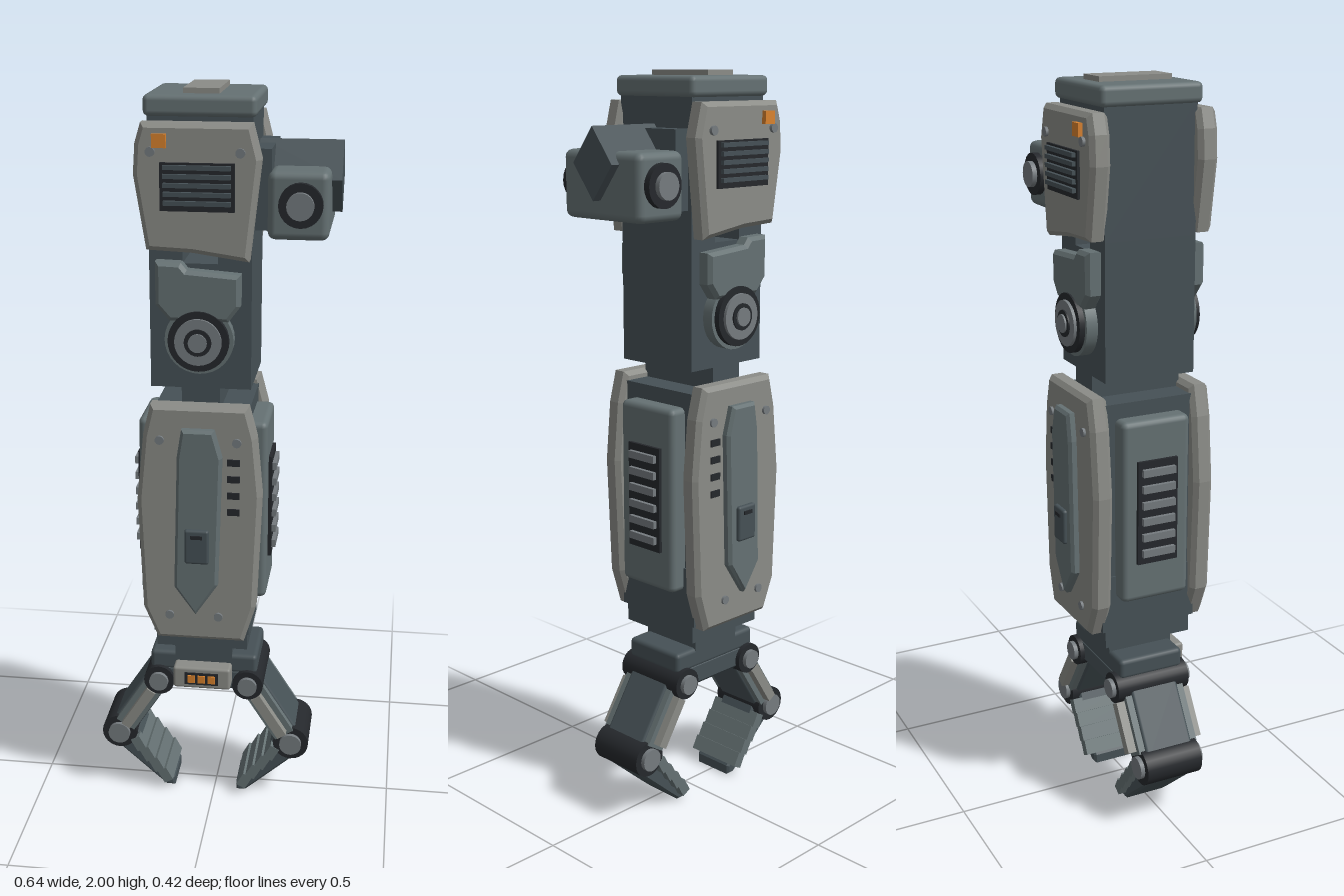
import * as THREE from 'three';
import { RoundedBoxGeometry } from 'three/addons/geometries/RoundedBoxGeometry.js';

const mat = (name, color) => {
  const m = new THREE.MeshStandardMaterial({ color });
  m.name = name;
  return m;
};

export function createModel() {
  const root = new THREE.Group();
  root.name = 'roboticArm';
  const grey = mat('lightGreyArmour', 0x8b8c87);
  const teal = mat('slateGreen', 0x657173);
  const dark = mat('darkSlate', 0x465156);
  const black = mat('nearBlack', 0x25282c);
  const steel = mat('steel', 0x757b7f);
  const orange = mat('orange', 0xd9822e);

  const add = (name, geo, m, x = 0, y = 0, z = 0, parent = root) => {
    const mesh = new THREE.Mesh(geo, m);
    mesh.name = name;
    mesh.position.set(x, y, z);
    parent.add(mesh);
    return mesh;
  };
  // Box given by its limits on each axis; r rounds the edges
  const box = (name, m, [x0, x1], [y0, y1], [z0, z1], r = 0, parent = root) => {
    const s = [x1 - x0, y1 - y0, z1 - z0];
    const geo = r ? new RoundedBoxGeometry(...s, 2, r) : new THREE.BoxGeometry(...s);
    return add(name, geo, m, (x0 + x1) / 2, (y0 + y1) / 2, (z0 + z1) / 2, parent);
  };
  // Bevelled plate from an outline, lying between two depths on side s
  const plate = (name, m, pts, z0, z1, s = 1, b = 0.01, parent = root) => {
    const shape = new THREE.Shape(pts.map(p => new THREE.Vector2(...p)));
    const geo = new THREE.ExtrudeGeometry(shape, {
      depth: z1 - z0 - 2 * b, bevelEnabled: b > 0, bevelSize: b, bevelOffset: -b,
      bevelThickness: b, bevelSegments: 1
    });
    geo.translate(0, 0, -(z1 - z0 - 2 * b) / 2);
    return add(name, geo, m, 0, 0, s * (z0 + z1) / 2, parent);
  };
  // Disc with its axis along z
  const disc = (name, m, x, y, r, z0, z1, s = 1, parent = root, n = 24) => {
    const geo = new THREE.CylinderGeometry(r, r, z1 - z0, n).rotateX(Math.PI / 2);
    return add(name, geo, m, x, y, s * (z0 + z1) / 2, parent);
  };
  const span = (s, a, b) => (s > 0 ? [a, b] : [-b, -a]);
  const CX = -0.025;

  // Upper arm frame, with a slot running through from front to back
  const Z = [-0.127, 0.127];
  box('shoulderFrame', dark, [-0.155, 0.105], [1.61, 1.945], Z);
  box('upperArmFrame', dark, [-0.155, 0.105], [1.25, 1.575], Z);
  box('slotSide', dark, [-0.155, -0.07], [1.575, 1.61], Z);
  box('slotSide', dark, [0.02, 0.105], [1.575, 1.61], Z);
  box('topCap', teal, [-0.165, 0.115], [1.935, 1.987], [-0.14, 0.14], 0.014);
  box('topPlate', grey, [-0.07, 0.02], [1.98, 2], [-0.1, 0.1]);

  // Side joint: block pierced by a diamond bar
  box('sideJointNeck', dark, [0.1, 0.15], [1.66, 1.86], [-0.115, 0.115]);
  box('sideJointBlock', teal, [0.142, 0.295], [1.64, 1.81], [-0.14, 0.14], 0.02);
  const bar = new THREE.CylinderGeometry(1, 1, 0.21, 4).toNonIndexed();
  bar.computeVertexNormals();
  bar.rotateZ(Math.PI / 2).scale(1, 0.09, 0.07);
  add('diamondBar', bar, dark, 0.215, 1.78, 0);

  // Elbow and forearm frames
  box('elbowNeck', dark, [-0.075, 0.025], [1.18, 1.27], Z);
  box('forearmFrame', dark, [-0.15, 0.1], [0.5, 1.19], Z);
  box('forearmCollar', dark, [-0.155, 0.105], [0.55, 0.71], [-0.138, 0.138]);

  for (const s of [1, -1]) {
    // Side joint pivot
    disc('pivotRing', black, 0.225, 1.73, 0.055, 0.13, 0.157, s);
    disc('pivotHub', steel, 0.225, 1.73, 0.034, 0.15, 0.17, s);

    // Shoulder armour with grille and lamp
    plate('shoulderArmour', grey, [[-0.165, 1.925], [0.108, 1.925], [0.13, 1.84], [0.102, 1.59],
      [-0.04, 1.61], [-0.155, 1.615], [-0.185, 1.8], [-0.18, 1.875]], 0.12, 0.175, s, 0.012);
    box('grilleFrame', black, [-0.117, 0.067], [1.715, 1.832], span(s, 0.165, 0.182));
    for (let i = 0; i < 5; i++) {
      const y = 1.73 + i * 0.0215;
      box('grilleSlat', dark, [-0.108, 0.058], [y, y + 0.011], span(s, 0.18, 0.192));
    }
    box('lamp', orange, [-0.135, -0.1], [1.867, 1.9], span(s, 0.17, 0.187));
    for (const x of [-0.14, 0.08]) disc('screw', steel, x, 1.857, 0.012, 0.17, 0.183, s, root, 10);

    // Elbow cover and rotary joint
    plate('elbowCover', teal, [[-0.135, 1.585], [-0.07, 1.583], [-0.055, 1.565], [0.08, 1.555],
      [0.08, 1.475], [0.05, 1.435], [-0.1, 1.435], [-0.135, 1.475]], 0.12, 0.168, s);
    disc('elbowHousing', teal, CX, 1.385, 0.088, 0.12, 0.158, s, root, 32);
    disc('elbowRing', black, CX, 1.385, 0.078, 0.15, 0.173, s, root, 32);
    disc('elbowDisc', steel, CX, 1.385, 0.06, 0.165, 0.181, s, root, 32);
    disc('elbowSocket', black, CX, 1.385, 0.035, 0.175, 0.185, s);
    disc('elbowHub', steel, CX, 1.385, 0.024, 0.18, 0.19, s);

    // Forearm armour
    plate('forearmArmour', grey, [[-0.152, 1.213], [0.103, 1.213], [0.125, 1.13], [0.14, 0.97],
      [0.127, 0.65], [0.095, 0.545], [-0.14, 0.545], [-0.178, 0.635], [-0.19, 0.95],
      [-0.172, 1.13]], 0.12, 0.175, s, 0.012);
    plate('forearmStrip', teal, [[-0.068, 1.155], [0.017, 1.155], [0.038, 1.08], [0.027, 0.72],
      [-0.033, 0.63], [-0.09, 0.71], [-0.08, 1.08]], 0.165, 0.197, s, 0.008);
    box('stripLatch', dark, [-0.06, 0.005], [0.785, 0.882], span(s, 0.185, 0.208), 0.007);
    box('latchSlot', black, [-0.043, -0.012], [0.858, 0.868], span(s, 0.2, 0.211));
    for (let i = 0; i < 4; i++) {
      const y = 1.065 - i * 0.046;
      box('ventSlot', black, [0.05, 0.083], [y - 0.009, y + 0.009], span(s, 0.17, 0.179));
    }
    for (const [x, y] of [[-0.127, 1.12], [0.075, 1.12], [-0.105, 0.62], [0.027, 0.62]])
      disc('screw', steel, x, y, 0.012, 0.17, 0.182, s, root, 10);

    // Forearm side pods with louvred grilles
    const sx = (a, b) => span(s, a, b).map(v => v + CX);
    box('sidePod', teal, sx(0.11, 0.172), [0.645, 1.15], [-0.098, 0.098], 0.016);
    box('sideGrille', black, sx(0.16, 0.181), [0.755, 1.042], [-0.058, 0.058]);
    for (let i = 0; i < 6; i++) {
      const y = 0.787 + i * 0.045;
      box('sideLouvre', steel, sx(0.175, 0.192), [y - 0.01, y + 0.01], [-0.047, 0.047]);
    }
  }

  // Wrist and palm
  box('wrist', dark, [-0.105, 0.055], [0.44, 0.52], [-0.095, 0.095]);
  box('palmTop', dark, [-0.175, 0.125], [0.405, 0.462], [-0.095, 0.095], 0.012);
  plate('palm', dark, [[-0.165, 0.415], [0.115, 0.415], [0.075, 0.352], [-0.125, 0.352]], -0.095, 0.095);
  box('palmPanel', grey, [-0.105, 0.055], [0.373, 0.437], [0.08, 0.138], 0.008);
  box('palmDisplay', black, [-0.072, 0.022], [0.387, 0.423], [0.13, 0.141]);
  for (const x of [-0.053, CX, 0.003])
    box('palmLight', orange, [x - 0.01, x + 0.01], [0.394, 0.416], [0.138, 0.145]);

  // Claw fingers; u measures outward from the arm axis
  for (const s of [1, -1]) {
    const finger = new THREE.Group();
    finger.name = s > 0 ? 'leftFinger' : 'rightFinger';
    finger.position.x = CX;
    root.add(finger);
    const X = u => s * u;

    // Knuckle and middle joints
    for (const [u, y, r, h] of [[0.125, 0.375, 0.043, 0.108], [0.247, 0.185, 0.05, 0.083]]) {
      disc('fingerJoint', black, X(u), y, r, -h, h, 1, finger);
      for (const f of [1, -1]) disc('jointCap', steel, X(u), y, r * 0.62, h - 0.01, h + 0.012, f, finger);
    }

    // Upper link with side strips
    const link = new THREE.Group();
    link.name = 'fingerLink';
    link.position.set(X(0.186), 0.28, 0);
    link.rotation.z = s * Math.atan2(0.122, 0.19);
    finger.add(link);
    box('linkCore', dark, [-0.036, 0.036], [-0.1, 0.1], [-0.07, 0.07], 0.008, link);
    for (const f of [1, -1]) {
      box('linkSide', teal, [-0.03, 0.03], [-0.08, 0.08], span(f, 0.06, 0.088), 0, link);
      box('linkStrip', grey, [-0.014, 0.014], [-0.07, 0.07], span(f, 0.08, 0.112), 0, link);
    }

    // Tapered tip with stepped gripping teeth
    const tip = [[0.285, 0.155], [0.25, 0.205], [0.205, 0.2], [0.165, 0.125], [0.09, 0.03],
      [0.09, 0.004], [0.115, 0.004], [0.145, 0.03]].map(([u, y]) => [X(u), y]);
    plate('fingerTip', dark, tip, -0.062, 0.062, 1, 0.006, finger);
    for (let i = 0; i < 4; i++) {
      const tooth = box('gripTooth', teal, [-0.014, 0.014], [-0.021, 0.021], [-0.085, 0.085], 0, finger);
      tooth.position.set(X(0.193 - i * 0.026), 0.148 - i * 0.033, 0);
      tooth.rotation.z = -s * 0.5;
    }
  }
  return root;
}
